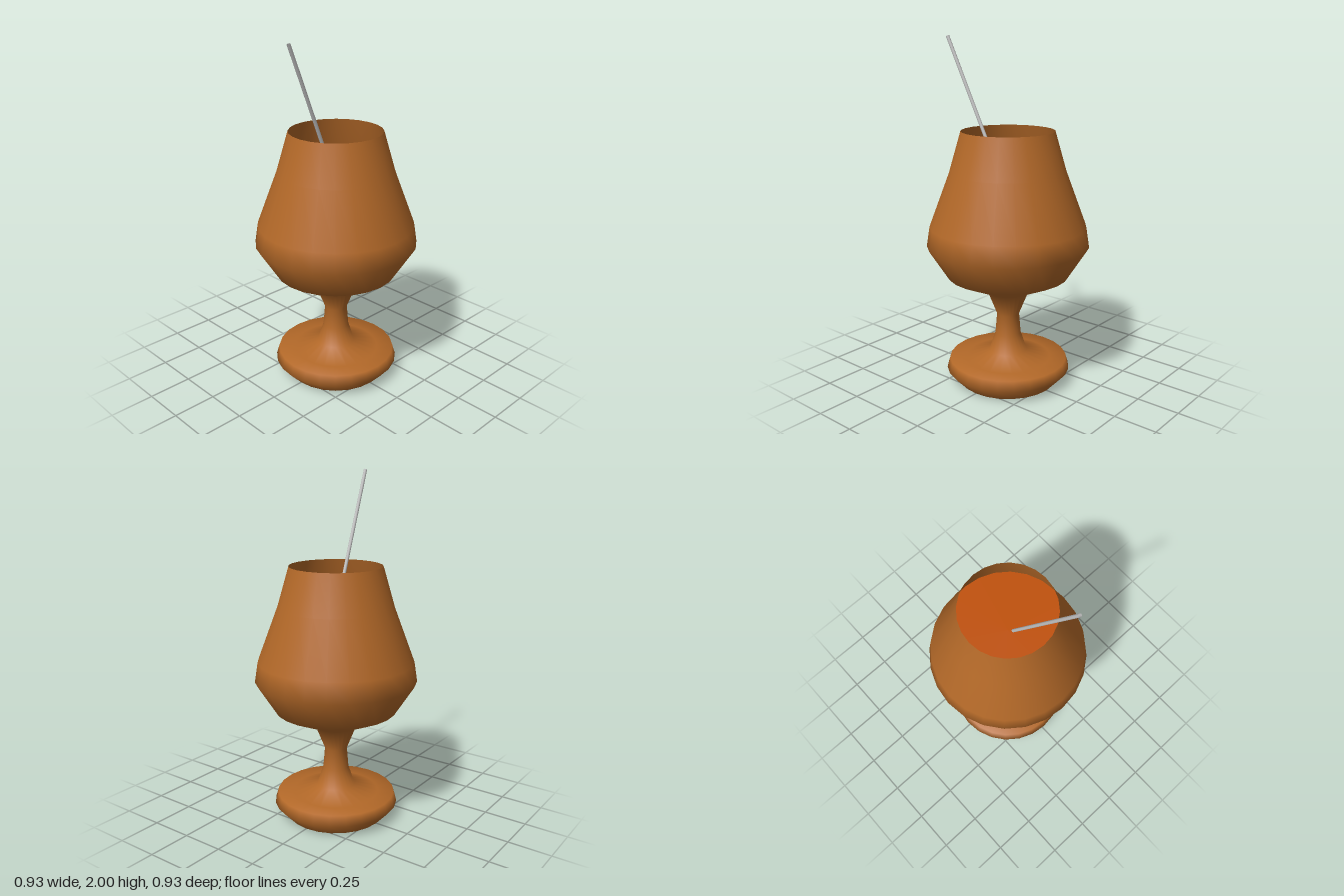
import * as THREE from 'three';

export function createModel() {
  const group = new THREE.Group();
  const glassMat = new THREE.MeshStandardMaterial({ color: 0xb26828, side: THREE.DoubleSide });
  glassMat.name = 'amber glass';
  const drinkMat = new THREE.MeshStandardMaterial({ color: 0xc05004, side: THREE.DoubleSide });
  drinkMat.name = 'orange drink';
  const strawMat = new THREE.MeshStandardMaterial({ color: 0xc2c2c2, side: THREE.DoubleSide });
  strawMat.name = 'light grey straw';
  const undersideMat = new THREE.MeshStandardMaterial({ color: 0x967650 });
  undersideMat.name = 'dull brown underside';

  const add = (name, geometry, material) => {
    const mesh = new THREE.Mesh(geometry, material);
    mesh.name = name;
    group.add(mesh);
    return mesh;
  };

  // Goblet: foot, stem and thin-walled bowl in one smooth turned shell
  const profile = [
    [0.29, 0], [0.363, 0.078], [0.345, 0.137], [0.25, 0.137], [0.11, 0.18],
    [0.075, 0.288], [0.065, 0.408], [0.12, 0.546], [0.352, 0.652], [0.466, 0.831],
    [0.448, 0.946], [0.332, 1.255], [0.265, 1.486],
  ].map(([r, y]) => new THREE.Vector2(r, y));
  add('goblet', new THREE.LatheGeometry(profile, 24), glassMat);

  // Flat underside of the foot, its normals rounded towards the edge
  const disc = new THREE.CircleGeometry(0.29, 24);
  disc.rotateZ(Math.PI / 2).rotateX(Math.PI / 2);
  const { position, normal } = disc.attributes;
  for (let i = 0; i < position.count; i++) {
    const n = new THREE.Vector3(position.getX(i) * 1.5, -1, position.getZ(i) * 1.5).normalize();
    normal.setXYZ(i, n.x, n.y, n.z);
  }
  add('footUnderside', disc, undersideMat);

  // Surface of the drink inside the bowl
  const drink = add('drinkSurface', new THREE.CircleGeometry(0.354, 24), drinkMat);
  drink.rotation.x = -Math.PI / 2;
  drink.position.y = 1.19;

  // Slanted open straw, its lower end dipped in the drink
  const bottom = new THREE.Vector3(0.005, 1.13, 0.017);
  const top = new THREE.Vector3(-0.387, 1.996, 0.068);
  const axis = top.clone().sub(bottom);
  const straw = add('straw', new THREE.CylinderGeometry(0.01, 0.01, axis.length(), 8, 1, true), strawMat);
  straw.position.copy(bottom).add(top).multiplyScalar(0.5);
  straw.quaternion.setFromUnitVectors(new THREE.Vector3(0, 1, 0), axis.normalize());

  return group;
}
